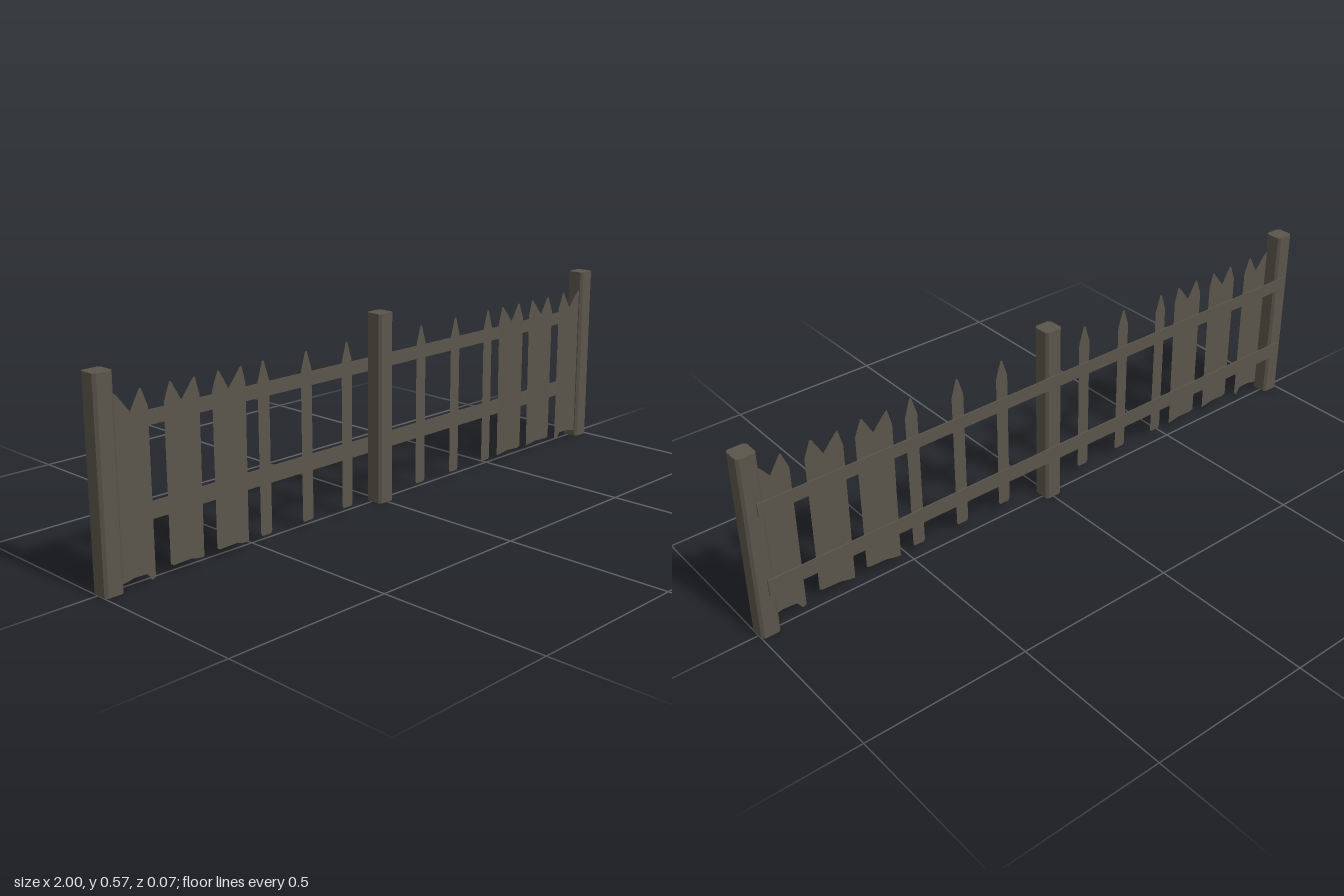
import * as THREE from 'three';

export function createModel() {
  const model = new THREE.Group();
  model.name = 'picketFence';
  const wood = new THREE.MeshStandardMaterial({ color: 0x5a554b, flatShading: true });
  const thinWood = new THREE.MeshStandardMaterial({ color: 0x5a554b, flatShading: true, side: THREE.DoubleSide });

  const add = (name, geometry, material, x, y, z, parent = model) => {
    const mesh = new THREE.Mesh(geometry, material);
    mesh.name = name;
    mesh.position.set(x, y, z);
    parent.add(mesh);
    return mesh;
  };
  const outline = (points) => new THREE.Shape(points.map(([x, y]) => new THREE.Vector2(x, y)));

  // Square posts with bevelled upright edges
  const h = 0.0285, c = 0.021;
  const section = outline([[c, -h], [h, -c], [h, c], [c, h], [-c, h], [-h, c], [-h, -c], [-c, -h]]);
  const postGeometry = new THREE.ExtrudeGeometry(section, { depth: 0.57, bevelEnabled: false });
  postGeometry.rotateX(-Math.PI / 2);
  [['rightPost', -0.9715], ['middlePost', -0.003], ['leftPost', 0.9715]].forEach(([name, x]) =>
    add(name, postGeometry, wood, x, 0, 0.0065));

  // Two flat rails behind the posts
  add('upperRail', new THREE.BoxGeometry(1.936, 0.04, 0.004), wood, 0, 0.411, -0.032);
  add('lowerRail', new THREE.BoxGeometry(1.936, 0.048, 0.004), wood, 0, 0.165, -0.032);

  // Narrow pointed pickets
  const picket = new THREE.ShapeGeometry(outline([
    [-0.016, 0.022], [0.016, 0.022], [0.02, 0.03], [0.02, 0.455], [0.003, 0.51], [-0.003, 0.51], [-0.02, 0.455], [-0.02, 0.03],
  ]));
  [-0.468, -0.313, -0.158, 0.152, 0.307, 0.462].forEach((x) => add('narrowPicket', picket, thinWood, x, 0, 0.026));

  // Wide boards with two points and a ragged foot
  const board = (side, drop) => new THREE.ShapeGeometry(outline([
    [-0.056, 0.03 - drop], [-0.045, 0.025 - drop], [-0.03, 0.026], [0.01, 0.027], [0.03, 0.022], [0.053, 0.02], [0.056, 0.46],
    [0.043, 0.51], [0.036, 0.505], [-0.002, 0.457], [-0.032, 0.51], [-0.037, 0.51], [-0.056, 0.46],
  ].map(([x, y]) => [x * side, y])));
  for (const side of [-1, 1]) {
    [0.585, 0.738, 0.898].forEach((x, i) => {
      const mesh = add('widePicket', board(-side, 0), thinWood, side * x, 0, side > 0 ? 0.021 : 0.026);
      if (side > 0) mesh.rotation.y = -0.07;
      // Outermost boards run down towards the post foot
      if (i === 2) mesh.geometry = board(-side * -1, 0.02);
    });
  }
  return model;
}
